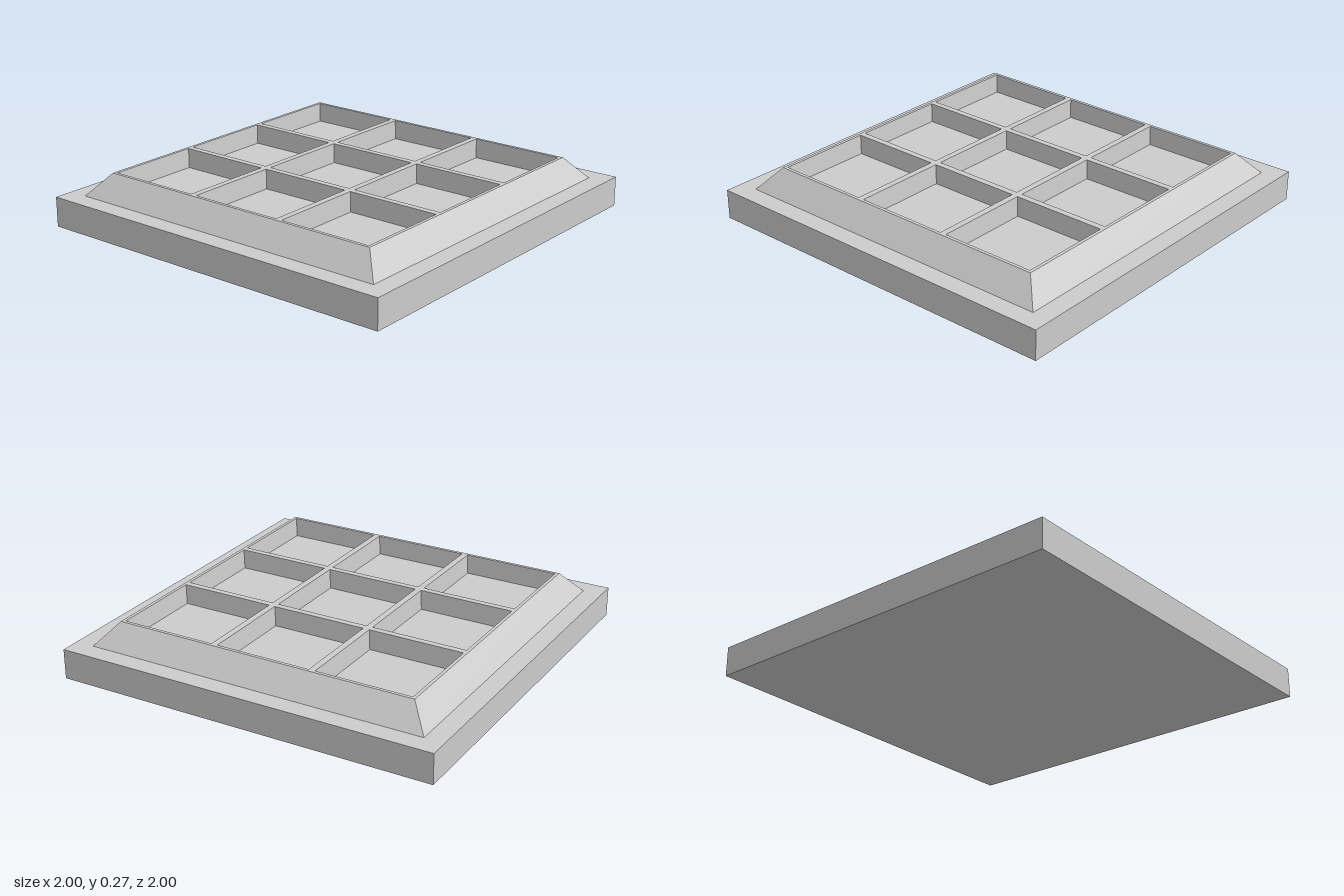
import * as THREE from 'three';

const SLAB_TOP = 0.155, RIM_TOP = 0.27, FLOOR = 0.17;
const PITCH = 0.533, OPENING = 0.25, FLOOR_HALF = 0.242;

const grey = new THREE.MeshStandardMaterial({ color: 0xcccccc, flatShading: true });
const thin = new THREE.MeshStandardMaterial({ color: 0xcccccc, flatShading: true, side: THREE.DoubleSide });

function part(name, geometry, material, x, y, z) {
  const mesh = new THREE.Mesh(geometry, material);
  mesh.name = name;
  mesh.position.set(x, y, z);
  return mesh;
}

// Four sloping sides between two squares, open at both ends
function slopedSides(topHalf, bottomHalf, height) {
  const r = Math.SQRT2;
  return new THREE.CylinderGeometry(topHalf * r, bottomHalf * r, height, 4, 1, true, Math.PI / 4);
}

// Adds the corners of a square outline to a shape or hole path
function square(path, cx, cy, h) {
  path.moveTo(cx - h, cy - h);
  path.lineTo(cx + h, cy - h);
  path.lineTo(cx + h, cy + h);
  path.lineTo(cx - h, cy + h);
  path.closePath();
  return path;
}

export function createModel() {
  const model = new THREE.Group();
  model.name = 'griddedPanel';

  // Base slab
  model.add(part('baseSlab', new THREE.BoxGeometry(2, SLAB_TOP, 2), grey, 0, SLAB_TOP / 2, 0));

  // Bevelled border of the raised panel
  const rimHeight = RIM_TOP - SLAB_TOP;
  model.add(part('bevelledBorder', slopedSides(0.8, 0.9, rimHeight), thin, 0, SLAB_TOP + rimHeight / 2, 0));

  // Lattice top with nine openings, each leading into a tapered pocket
  const lattice = square(new THREE.Shape(), 0, 0, 0.8);
  const depth = RIM_TOP - FLOOR;
  const wallGeometry = slopedSides(OPENING, FLOOR_HALF, depth);
  const floorGeometry = new THREE.PlaneGeometry(FLOOR_HALF * 2, FLOOR_HALF * 2).rotateX(-Math.PI / 2);
  for (let i = -1; i <= 1; i++) {
    for (let j = -1; j <= 1; j++) {
      const x = i * PITCH, z = j * PITCH;
      lattice.holes.push(square(new THREE.Path(), x, -z, OPENING));
      const pocket = new THREE.Group();
      pocket.name = 'pocket';
      pocket.position.set(x, 0, z);
      pocket.add(part('pocketWalls', wallGeometry, thin, 0, FLOOR + depth / 2, 0));
      pocket.add(part('pocketFloor', floorGeometry, thin, 0, FLOOR, 0));
      model.add(pocket);
    }
  }
  const latticeGeometry = new THREE.ShapeGeometry(lattice).rotateX(-Math.PI / 2);
  model.add(part('latticeTop', latticeGeometry, thin, 0, RIM_TOP, 0));

  return model;
}
